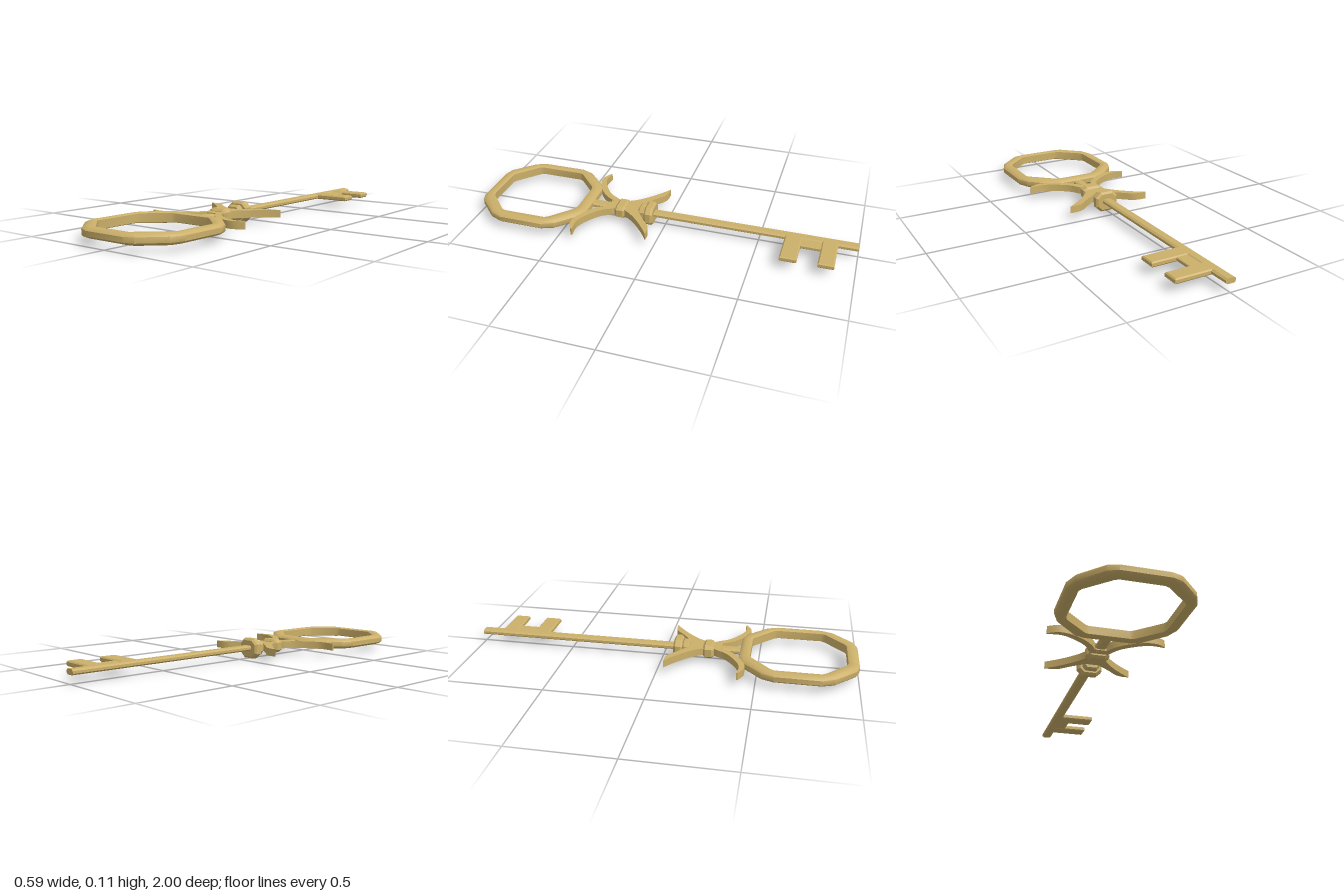
import * as THREE from 'three';
import { toCreasedNormals } from 'three/addons/utils/BufferGeometryUtils.js';

const gold = new THREE.MeshStandardMaterial({ color: 0xccb06a });
const MID = 0.058;

const vec = (pts, s = 1) => pts.map(([x, y]) => new THREE.Vector2(x * s, y));

// Flat plate drawn in (x, z), centred on height MID
function plate(shape, height, bevel = 0) {
  const g = new THREE.ExtrudeGeometry(shape, {
    depth: height - 2 * bevel, bevelEnabled: bevel > 0,
    bevelSize: bevel, bevelThickness: bevel, bevelOffset: -bevel, bevelSegments: 1,
  });
  g.rotateX(Math.PI / 2);
  g.translate(0, MID + height / 2 - bevel, 0);
  return g;
}

const rect = (x0, x1, z0, z1) => new THREE.Shape(vec([[x0, z0], [x1, z0], [x1, z1], [x0, z1]]));

// Octagonal cross-section in (x, y): half sizes and half lengths of the flats
const octagon = (w, h, fx, fy) => new THREE.Shape(vec([
  [fx, -h], [w, -fy], [w, fy], [fx, h], [-fx, h], [-w, fy], [-w, -fy], [-fx, -h],
]));

// Bar or collar running along z
function alongZ(shape, z0, z1, bevel = 0) {
  const g = new THREE.ExtrudeGeometry(shape, {
    depth: z1 - z0 - 2 * bevel, bevelEnabled: bevel > 0,
    bevelSize: bevel, bevelThickness: bevel, bevelOffset: -bevel, bevelSegments: 1,
  });
  g.translate(0, 0.055, z0 + bevel);
  return g;
}

// Eight-sided bow with softened corners, its section swept between two outlines
function bowGeometry() {
  const outer = [[0.295, 0.115], [0.268, 0.178], [0.165, 0.28], [0.115, 0.2975]];
  const inner = [[0.24, 0.115], [0.23, 0.135], [0.12, 0.235], [0.1, 0.242]];
  const section = [[0, -0.021], [0.15, -0.025], [0.6, -0.025], [0.88, -0.019], [1, -0.012],
    [1, 0.012], [0.88, 0.019], [0.6, 0.025], [0.15, 0.025], [0, 0.021]];
  const around = q => {
    const flip = (sx, sz) => q.map(([x, z]) => [x * sx, z * sz]);
    return [...flip(1, 1), ...flip(-1, 1).reverse(), ...flip(-1, -1), ...flip(1, -1).reverse()];
  };
  const o = around(outer), inn = around(inner), n = o.length, m = section.length;
  const pos = [], index = [];
  for (let i = 0; i < n; i++) {
    const swell = [1, 2].includes(i % 4) ? 1.08 : 1;
    for (const [u, y] of section) {
      pos.push(inn[i][0] + (o[i][0] - inn[i][0]) * u, 0.06 + y * swell,
        0.7025 + inn[i][1] + (o[i][1] - inn[i][1]) * u);
    }
  }
  for (let i = 0; i < n; i++) for (let j = 0; j < m; j++) {
    const a = i * m + j, b = i * m + (j + 1) % m;
    const c = ((i + 1) % n) * m + j, d = ((i + 1) % n) * m + (j + 1) % m;
    index.push(a, b, c, b, d, c);
  }
  const g = new THREE.BufferGeometry();
  g.setAttribute('position', new THREE.Float32BufferAttribute(pos, 3));
  g.setIndex(index);
  return toCreasedNormals(g, 0.75);
}

// Curved leaf bounded by two splines
function leaf(edgeA, edgeB, side) {
  const a = new THREE.SplineCurve(vec(edgeA, side)).getPoints(14);
  const b = new THREE.SplineCurve(vec(edgeB, side)).getPoints(14);
  return toCreasedNormals(plate(new THREE.Shape([...a, ...b]), 0.038), 0.5);
}

export function createModel() {
  const key = new THREE.Group();
  key.name = 'key';
  const add = (name, geometry) => {
    const mesh = new THREE.Mesh(geometry, gold);
    mesh.name = name;
    key.add(mesh);
  };

  add('bow', bowGeometry());

  // Shaft with chamfered edges
  const shaft = alongZ(octagon(0.027, 0.0135, 0.017, 0.006), -1, 0.42);
  shaft.translate(0, MID - 0.055, 0);
  add('shaft', shaft);

  // Two teeth joined by a thinner web
  add('backTooth', plate(rect(0.01, 0.21, -0.9, -0.82), 0.027, 0.006));
  add('frontTooth', plate(rect(0.01, 0.21, -0.72, -0.635), 0.027, 0.006));
  add('toothWeb', plate(rect(0.01, 0.082, -0.83, -0.71), 0.018, 0.003));

  // Collars
  add('largeCollar', alongZ(octagon(0.063, 0.053, 0.033, 0.026), 0.06, 0.106, 0.01));
  add('smallCollar', alongZ(octagon(0.042, 0.037, 0.027, 0.018), 0.104, 0.142, 0.007));
  add('middleCollar', alongZ(octagon(0.059, 0.036, 0.036, 0.02), 0.213, 0.27, 0.012));

  // Hub joining the four leaves
  add('hub', plate(new THREE.Shape(vec([
    [0.03, 0.13], [0.04, 0.21], [0.045, 0.27], [0.028, 0.31],
    [-0.028, 0.31], [-0.045, 0.27], [-0.04, 0.21], [-0.03, 0.13],
  ])), 0.037));

  for (const [label, side] of [['left', 1], ['right', -1]]) {
    add(label + 'BackLeaf', leaf(
      [[0, 0.155], [0.04, 0.137], [0.1, 0.095], [0.15, 0.053], [0.188, 0.04]].map(([x, z]) =>
        [x, z]),
      [[0.228, 0.04], [0.185, 0.07], [0.12, 0.125], [0.07, 0.18], [0.038, 0.23], [0, 0.25]], side));
    add(label + 'FrontLeaf', leaf(
      [[0, 0.255], [0.045, 0.272], [0.085, 0.335], [0.15, 0.385], [0.22, 0.416], [0.292, 0.41]],
      [[0.292, 0.418], [0.24, 0.443], [0.18, 0.436], [0.11, 0.4], [0.055, 0.35], [0.024, 0.3],
        [0, 0.29]], side));
  }
  return key;
}
